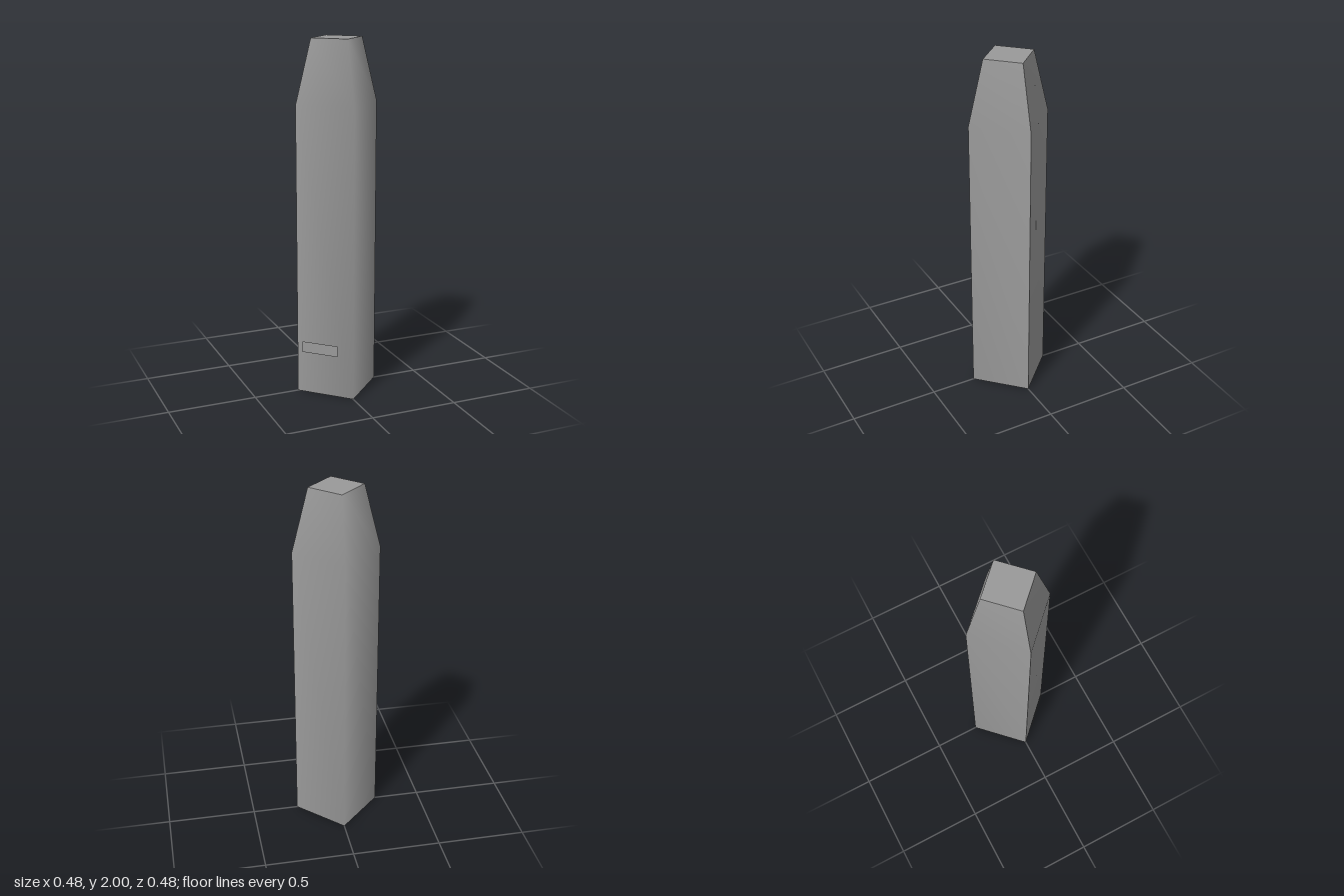
import * as THREE from 'three';

export function createModel() {
  const group = new THREE.Group();
  const material = new THREE.MeshStandardMaterial({ color: 0x999999 });
  const add = (name, geometry, mat = material) => {
    const mesh = new THREE.Mesh(geometry, mat);
    mesh.name = name;
    group.add(mesh);
    return mesh;
  };

  // Diamond column with a tapered top: two halves, each smooth, creased where they meet
  const profile = [[0.24, 0], [0.24, 1.645], [0.15, 2]].map(([r, y]) => new THREE.Vector2(r, y));
  const slopes = [0, 0.09, 0.18];
  for (const [name, side] of [['columnFront', 1], ['columnBack', -1]]) {
    const half = new THREE.LatheGeometry(profile, 2, -side * Math.PI / 2, Math.PI);
    // Side edges keep the flat face direction; the middle ridge blends both faces
    const normal = new THREE.Vector3();
    for (let i = 0; i < 9; i++) {
      const across = (Math.floor(i / 3) - 1) * side;
      normal.set(across * Math.SQRT1_2, slopes[i % 3], side * Math.SQRT1_2).normalize();
      half.attributes.normal.setXYZ(i, normal.x, normal.y, normal.z);
    }
    add(name, half);
  }

  // Flat ends
  const top = add('topCap', new THREE.CircleGeometry(0.15, 4));
  top.rotation.x = -Math.PI / 2;
  top.position.y = 2;
  const base = add('baseCap', new THREE.CircleGeometry(0.24, 4));
  base.rotation.x = Math.PI / 2;

  // Thin plate floating just off the front face on the -x side
  const plateMaterial = new THREE.MeshStandardMaterial({ color: 0x999999, side: THREE.DoubleSide });
  const plate = add('plate', new THREE.PlaneGeometry(0.212, 0.063), plateMaterial);
  plate.position.set(-0.153, 0.281, 0.12);
  plate.rotation.y = -Math.PI / 4;

  return group;
}
